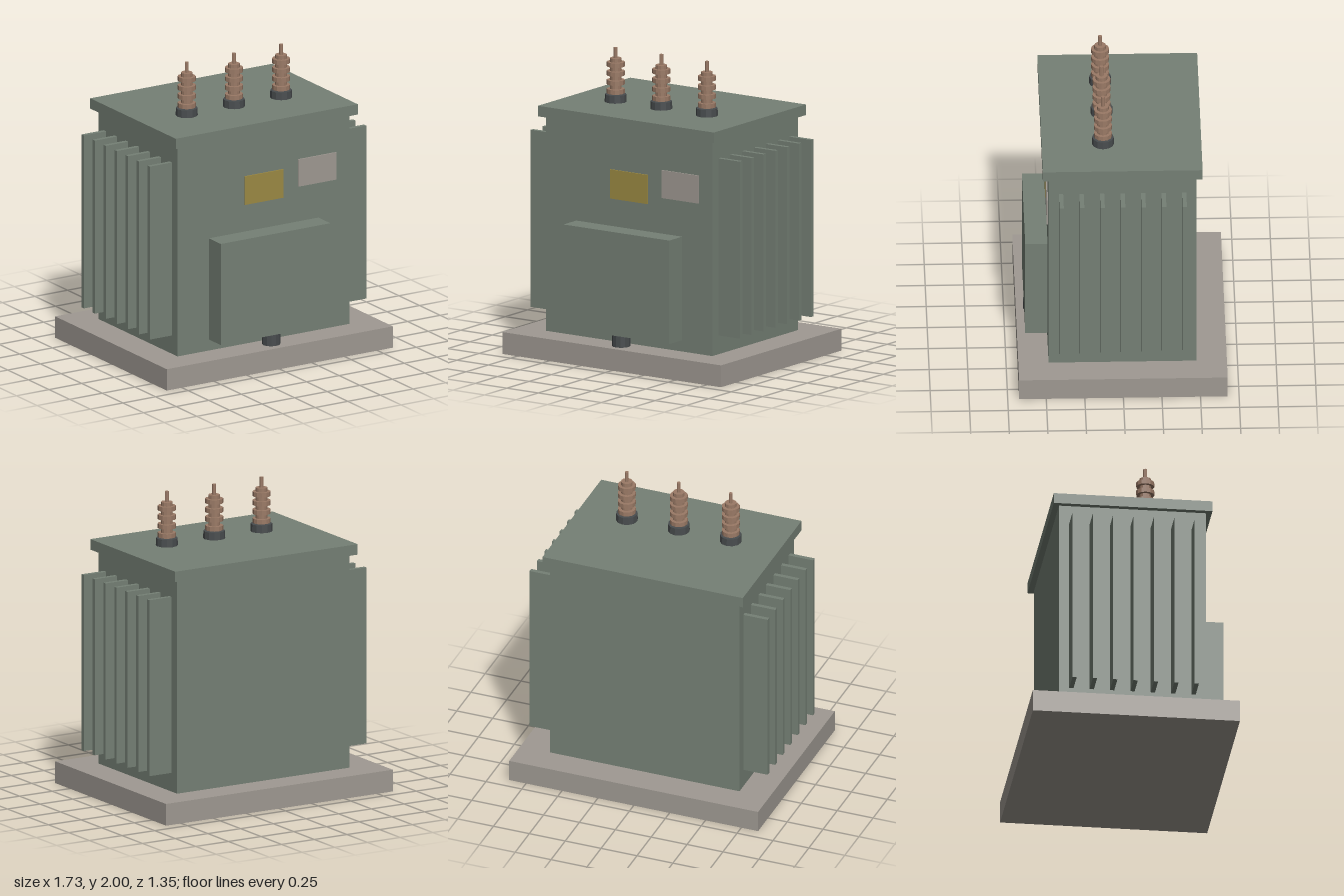
import * as THREE from 'three';

export function createModel() {
  const root = new THREE.Group();
  root.name = 'transformer';

  const material = (name, color, flatShading = false) => {
    const m = new THREE.MeshStandardMaterial({ color, flatShading });
    m.name = name;
    return m;
  };
  const green = material('green paint', 0x758075);
  const concrete = material('concrete grey', 0x9f9992);
  const yellow = material('warning yellow', 0x9c8a43);
  const porcelain = material('brown porcelain', 0x9a7a66, true);
  const dark = material('dark metal', 0x484c4e, true);

  // Box given by its minimum and maximum corners
  const box = (name, mat, [x0, y0, z0], [x1, y1, z1]) => {
    const mesh = new THREE.Mesh(new THREE.BoxGeometry(x1 - x0, y1 - y0, z1 - z0), mat);
    mesh.position.set((x0 + x1) / 2, (y0 + y1) / 2, (z0 + z1) / 2);
    mesh.name = name;
    root.add(mesh);
  };
  // Upright cylinder between two heights
  const post = (name, mat, parent, rBottom, rTop, y0, y1, sides = 12) => {
    const mesh = new THREE.Mesh(new THREE.CylinderGeometry(rTop, rBottom, y1 - y0, sides), mat);
    mesh.position.y = (y0 + y1) / 2;
    mesh.name = name;
    parent.add(mesh);
    return mesh;
  };

  // Base, tank and lid
  box('basePad', concrete, [-0.867, 0, -0.676], [0.867, 0.145, 0.676]);
  box('tank', green, [-0.66, 0.145, -0.48], [0.66, 1.57, 0.48]);
  box('lid', green, [-0.698, 1.57, -0.518], [0.698, 1.64, 0.518]);

  // Control cabinet and its conduit
  box('cabinet', green, [-0.42, 0.22, 0.48], [0.42, 0.907, 0.625]);
  post('conduit', dark, root, 0.06, 0.06, 0.145, 0.22).position.z = 0.57;

  // Plates on the front
  box('warningPlate', yellow, [-0.148, 1.09, 0.48], [0.148, 1.283, 0.489]);
  box('ratingPlate', concrete, [0.262, 1.145, 0.48], [0.555, 1.33, 0.489]);

  // Cooling fins along both sides
  for (const side of [-1, 1]) {
    for (let i = -3; i <= 3; i++) {
      const z = i * 0.133;
      const [a, b] = side < 0 ? [-0.83, -0.66] : [0.66, 0.83];
      box('coolingFin', green, [a, 0.27, z - 0.014], [b, 1.445, z + 0.014]);
    }
  }

  // Three insulated bushings on the lid
  for (const x of [-0.362, 0, 0.362]) {
    const bushing = new THREE.Group();
    bushing.name = 'bushing';
    bushing.position.set(x, 0, 0.12);
    post('collar', dark, bushing, 0.072, 0.07, 1.64, 1.69);
    post('core', porcelain, bushing, 0.038, 0.038, 1.69, 1.93);
    for (let i = 0; i < 4; i++) {
      const y = 1.711 + i * 0.0595;
      post('shed', porcelain, bushing, 0.059, 0.059, y - 0.015, y + 0.015);
    }
    post('terminalPin', porcelain, bushing, 0.013, 0.013, 1.93, 2, 8);
    root.add(bushing);
  }

  return root;
}
